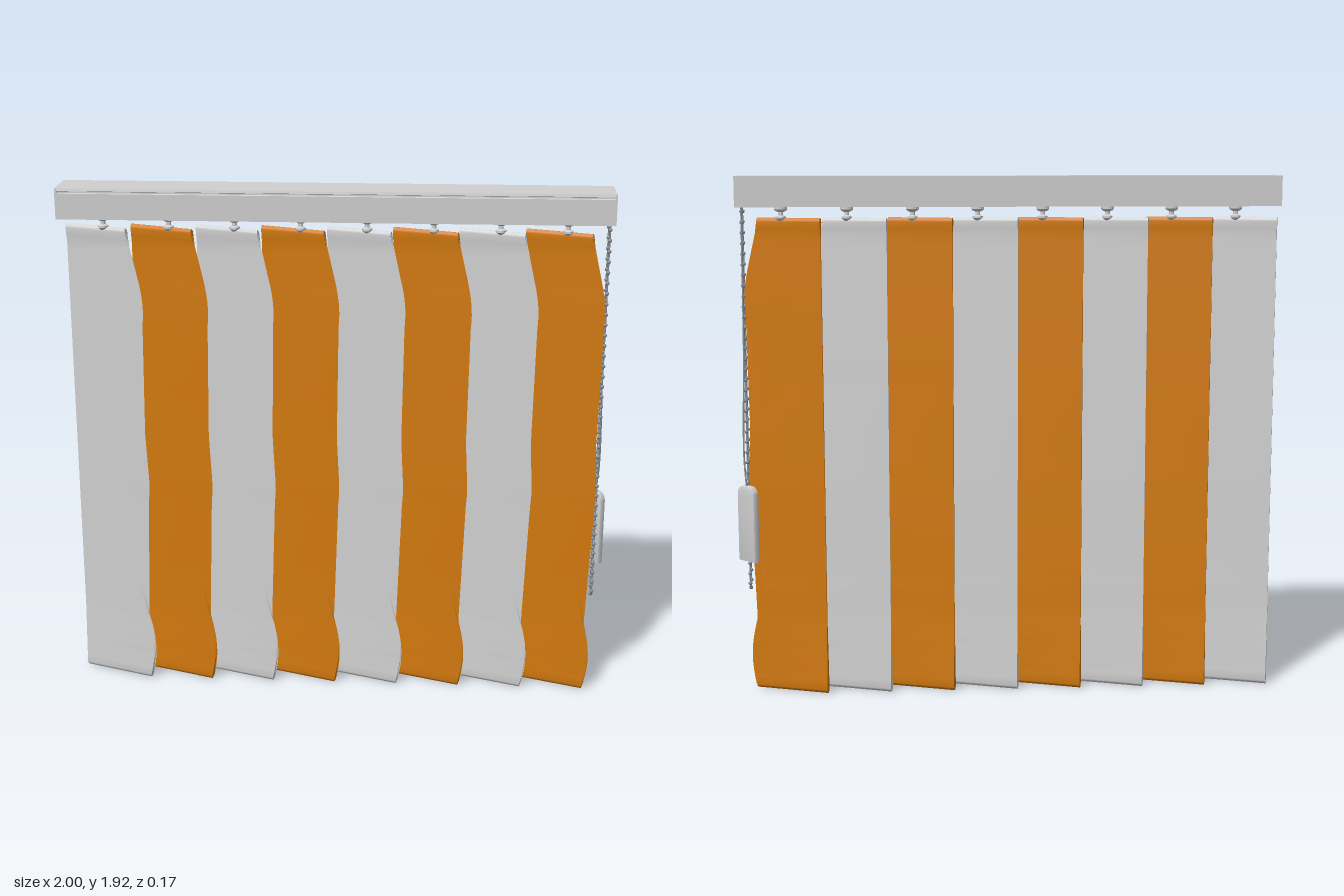
import * as THREE from 'three';
import { mergeGeometries, toCreasedNormals } from 'three/addons/utils/BufferGeometryUtils.js';

const COUNT = 8, PITCH = 0.2375, FIRST_X = -0.847, TILT = -0.35;
const SLAT_TOP = 1.77, CHAIN_X = 0.957;

const paint = (name, color) => {
  const m = new THREE.MeshStandardMaterial({ color });
  m.name = name;
  return m;
};

function part(name, geometry, material) {
  const mesh = new THREE.Mesh(geometry, material);
  mesh.name = name;
  return mesh;
}

// Extrudes a [z, y] outline along x
function extrudeAlongX(points, x0, x1) {
  const shape = new THREE.Shape(points.map(([z, y]) => new THREE.Vector2(-z, y)));
  const g = new THREE.ExtrudeGeometry(shape, { depth: x1 - x0, bevelEnabled: false });
  return g.rotateY(Math.PI / 2).translate(x0, 0, 0);
}

// Half thickness of a slat: thin cloth with a weighted pocket below and a hem above
function halfThickness(y) {
  const thin = 0.0025;
  if (y < 0.02) return 0.011 * Math.sqrt(Math.max(0.02, 1 - ((0.02 - y) / 0.02) ** 2));
  if (y < 0.27) return thin + 0.0085 * (1 - (y - 0.02) / 0.25);
  if (y > 1.755) return 0.009 * Math.sqrt(Math.max(0.02, 1 - ((y - 1.755) / 0.015) ** 2));
  if (y > 1.7) return thin + 0.0065 * (y - 1.7) / 0.055;
  return thin;
}

// Slat with a straight left edge and a wavy right edge
function slatGeometry() {
  const ys = [0, 0.003, 0.008, 0.014, 0.02];
  for (let i = 1; i <= 10; i++) ys.push(0.02 + i * 0.025);
  for (let i = 1; i <= 44; i++) ys.push(0.27 + (i * 1.43) / 44);
  ys.push(1.73, 1.755, 1.761, 1.767, SLAT_TOP);
  const front = ys.map((y) => [halfThickness(y), y]);
  const back = ys.map((y) => [-halfThickness(y), y]).reverse();
  const g = extrudeAlongX([...front, ...back], 0, 1);
  const p = g.attributes.position;
  for (let i = 0; i < p.count; i++) {
    const wave = 0.12 + 0.0293 * Math.cos((2 * Math.PI * (p.getY(i) - 1.47)) / 0.67);
    p.setX(i, p.getX(i) < 0.5 ? -0.153 : wave);
  }
  return toCreasedNormals(g, 0.6);
}

// Carrier hook, turned from a profile
function hookGeometry() {
  const profile = [[0, 1.825], [0.024, 1.825], [0.024, 1.8], [0.02, 1.795], [0.009, 1.79],
    [0.009, 1.779], [0.019, 1.774], [0.019, 1.767], [0.006, 1.755], [0, 1.755]];
  const points = profile.reverse().map(([r, y]) => new THREE.Vector2(r, y));
  return toCreasedNormals(new THREE.LatheGeometry(points, 12), 0.6);
}

// Head rail: channel with a slot underneath and a groove along the upper front
function headRail(material, dark) {
  const rail = new THREE.Group();
  rail.name = 'headRail';
  const outline = [[0.082, 1.81], [0.082, 1.902], [0.077, 1.904], [0.077, 1.909], [0.082, 1.911],
    [0.08, 1.92], [-0.085, 1.92], [-0.085, 1.81], [-0.032, 1.81], [-0.032, 1.84],
    [0.032, 1.84], [0.032, 1.81]];
  rail.add(part('railChannel', extrudeAlongX(outline, -0.992, 0.967), material));
  for (const [name, x] of [['rightEndCap', -0.996], ['leftEndCap', 0.971]]) {
    const cap = part(name, new THREE.BoxGeometry(0.008, 0.11, 0.167), material);
    cap.position.set(x, 1.865, -0.0015);
    rail.add(cap);
  }
  const slot = part('slotLining', new THREE.BoxGeometry(1.95, 0.004, 0.062), dark);
  slot.position.set(-0.0125, 1.838, 0);
  rail.add(slot);
  return rail;
}

// Control chain: a hanging loop of beads on a thin cord
function beadChain(material) {
  const chain = new THREE.Group();
  chain.name = 'beadChain';
  const points = [];
  for (let i = 0; i <= 12; i++) points.push([0.06, 1.83 - (i * 1.41) / 12]);
  for (let i = 1; i < 6; i++) {
    const a = (i * Math.PI) / 6;
    points.push([0.032 + 0.028 * Math.cos(a), 0.42 - 0.028 * Math.sin(a)]);
  }
  for (let i = 0; i <= 12; i++) points.push([0.004, 0.42 + (i * 1.41) / 12]);
  const path = new THREE.CatmullRomCurve3(points.map(([z, y]) => new THREE.Vector3(CHAIN_X, y, z)));
  chain.add(part('chainCord', new THREE.TubeGeometry(path, 160, 0.0025, 5), material));
  const beads = path.getSpacedPoints(76).map((v) =>
    new THREE.SphereGeometry(0.0075, 8, 6).translate(v.x, v.y, v.z));
  chain.add(part('chainBeads', mergeGeometries(beads), material));
  return chain;
}

// Pull weight: a slab with a rounded top, hung on its own cord
function pullWeight(material, cordMaterial) {
  const group = new THREE.Group();
  group.name = 'pullWeight';
  const w = 0.041, s = new THREE.Shape();
  s.moveTo(-w, 0.51);
  s.lineTo(w, 0.51);
  s.lineTo(w, 0.75);
  s.quadraticCurveTo(w, 0.786, 0.012, 0.786);
  s.lineTo(-0.012, 0.786);
  s.quadraticCurveTo(-w, 0.786, -w, 0.75);
  s.closePath();
  const g = new THREE.ExtrudeGeometry(s, {
    depth: 0.018, bevelThickness: 0.004, bevelSize: 0.004, bevelSegments: 2, curveSegments: 8 });
  g.translate(0, 0, -0.009).rotateY(-Math.PI / 4).translate(0.956, 0, -0.0225);
  group.add(part('weightBody', toCreasedNormals(g, 0.6), material));
  const path = new THREE.CatmullRomCurve3([[0.957, 1.83, 0], [0.96, 1.3, -0.002], [0.968, 0.9, -0.008],
    [0.96, 0.78, -0.02]].map((v) => new THREE.Vector3(...v)));
  group.add(part('weightCord', new THREE.TubeGeometry(path, 30, 0.0035, 6), cordMaterial));
  return group;
}

export function createModel() {
  const model = new THREE.Group();
  model.name = 'verticalBlind';
  const grey = paint('lightGrey', 0xcfcfcf);
  const orange = paint('orange', 0xd0780e);
  const chainGrey = paint('chainGrey', 0x8c9298);
  const slotGrey = paint('slotGrey', 0x8a8a8a);

  model.add(headRail(grey, slotGrey));

  // Slats, alternating in colour, each on its hook
  const slatGeo = slatGeometry(), hookGeo = hookGeometry();
  for (let i = 0; i < COUNT; i++) {
    const unit = new THREE.Group();
    unit.name = 'slatUnit' + (i + 1);
    unit.position.x = FIRST_X + i * PITCH;
    unit.rotation.y = TILT;
    unit.add(part('slat', slatGeo, i % 2 ? orange : grey), part('hook', hookGeo, grey));
    model.add(unit);
  }

  model.add(beadChain(chainGrey), pullWeight(grey, chainGrey));
  return model;
}
